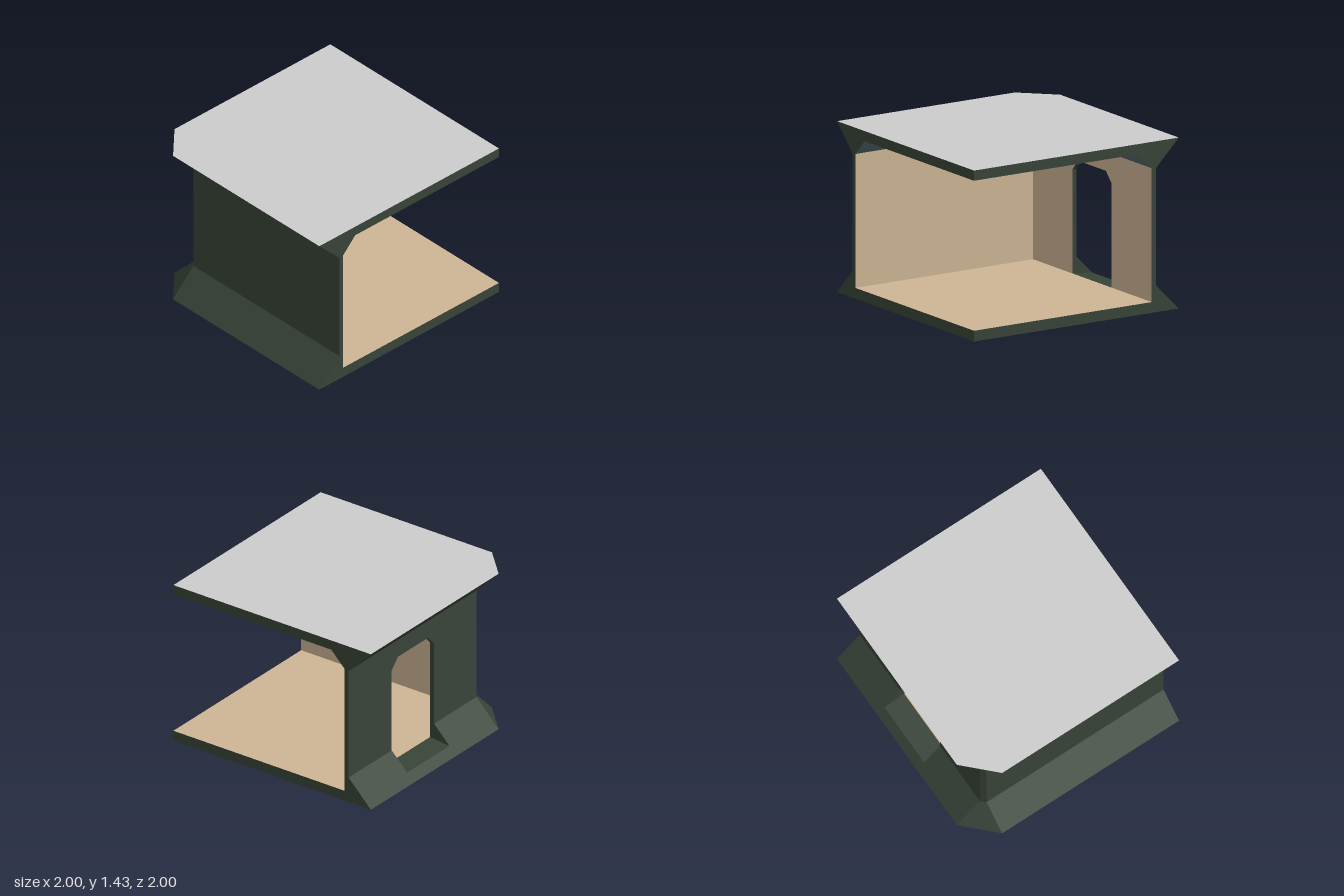
import * as THREE from 'three';

const mat = (name, color) => {
  const m = new THREE.MeshStandardMaterial({ color });
  m.name = name;
  return m;
};

// Flat polygons, each given as [outward direction, corner points]
function facesGeometry(faces) {
  const out = [];
  for (const [dir, corners] of faces) {
    const p = corners.map((c) => new THREE.Vector3(...c));
    const n = new THREE.Vector3();
    p.forEach((a, i) => n.add(a.clone().cross(p[(i + 1) % p.length])));
    n.normalize();
    if (n.dot(new THREE.Vector3(...dir)) < 0) n.negate();
    const u = p[1].clone().sub(p[0]).normalize();
    const v = n.clone().cross(u);
    const flat = p.map((q) => new THREE.Vector2(q.dot(u), q.dot(v)));
    for (const [i, j, k] of THREE.ShapeUtils.triangulateShape(flat, [])) {
      const ccw = flat[j].clone().sub(flat[i]).cross(flat[k].clone().sub(flat[i])) > 0;
      for (const t of ccw ? [i, j, k] : [i, k, j]) out.push(p[t].x, p[t].y, p[t].z);
    }
  }
  const g = new THREE.BufferGeometry();
  g.setAttribute('position', new THREE.Float32BufferAttribute(out, 3));
  g.computeVertexNormals();
  return g;
}

// Mirror across the diagonal: swaps the front wall with the door wall
const swap = ([x, y, z]) => [-z, y, -x];
const swapFace = ([dir, pts]) => [swap(dir), pts.map(swap)];
const withSwap = (face) => [face, swapFace(face)];

export function createModel() {
  const green = mat('dark green shell', 0x384438);
  const tan = mat('tan interior', 0xcdb594);
  const blue = mat('blue grey cove', 0x566b70);
  const grey = mat('light grey slab', 0xcccccc);

  const model = new THREE.Group();
  model.name = 'cornerRoom';
  const part = (name, material, faces) => {
    const mesh = new THREE.Mesh(facesGeometry(faces), material);
    mesh.name = name;
    model.add(mesh);
  };

  const H = 1.43, FLOOR = 0.09, CEIL = 1.345;   // heights
  const W = 0.775, I = 0.735, C = 0.6;          // outer wall, inner wall, cove edge
  const S0 = 0.225, S1 = H - S0, COVE = 1.21;   // flare and cove heights
  const Z0 = -0.415, Z1 = 0.16;                 // door sides
  const LIPX = -0.93, LIPY = 0.07;              // outer edge of the door sill
  const arch = [[Z1, 0.96], [Z1 - 0.085, 1.05], [Z0 + 0.085, 1.05], [Z0, 0.96]];

  // Roof top and underside of the base, with the clipped corner
  const slab = (y) => [[1, y, 1], [1, y, -1], [-1, y, -1], [-1, y, I], [-I, y, 1]];
  part('roofTop', grey, [[[0, 1, 0], slab(H)]]);
  part('baseUnderside', grey, [[[0, -1, 0], slab(0)]]);

  // Front wall, its flared strips and the chamfered corner
  const levels = [[0, 1], [S0, W], [S1, W], [H, 1]];
  const front = [], corner = [];
  for (let i = 0; i < 3; i++) {
    const [ya, a] = levels[i], [yb, b] = levels[i + 1];
    front.push([[0, 0, 1], [[1, ya, a], [1, yb, b], [-I, yb, b], [-I, ya, a]]]);
    corner.push([[-1, 0, 1], [[-I, ya, a], [-I, yb, b], [-b, yb, I], [-a, ya, I]]]);
  }
  part('frontWall', green, front);
  part('cornerChamfer', green, corner);

  // Door wall outside: flared base with a notch, wall with the doorway, flared eave
  const doorway = (x, y) => [[x, y, Z1], ...arch.map(([z, h]) => [x, h, z]), [x, y, Z0]];
  part('doorWall', green, [
    [[-1, 0, 0], [[-1, 0, I], [-1, 0, -1], [-W, S0, -1], [-W, S0, Z0],
      [LIPX, LIPY, Z0], [LIPX, LIPY, Z1], [-W, S0, Z1], [-W, S0, I]]],
    [[-1, 0, 0], [[-W, S0, I], ...doorway(-W, S0), [-W, S0, -1], [-W, S1, -1], [-W, S1, I]]],
    swapFace(front[2]),
  ]);

  // Door reveal: arch, lower cheeks and sill
  const outer = doorway(-W, S0), inner = doorway(-I, S0);
  const reveal = [];
  for (let i = 0; i < 5; i++) {
    const [, ya, za] = outer[i], [, yb, zb] = outer[i + 1];
    const dir = [0, 0.55 - (ya + yb) / 2, (Z0 + Z1) / 2 - (za + zb) / 2];
    reveal.push([dir, [outer[i], outer[i + 1], inner[i + 1], inner[i]]]);
  }
  for (const [z, s] of [[Z0, 1], [Z1, -1]]) {
    reveal.push([[0, 0, s], [[-I, FLOOR, z], [LIPX, LIPY, z], [-W, S0, z], [-I, S0, z]]]);
  }
  part('doorReveal', green, reveal);
  part('doorSill', green, [[[0, 1, 0],
    [[-I, FLOOR, Z0], [LIPX, LIPY, Z0], [LIPX, LIPY, Z1], [-I, FLOOR, Z1]]]]);

  // Cut ends of the shell on the two open sides
  const section = [[1, 0], [W, S0], [W, S1], [1, H], [-1, H], [-1, CEIL], [C, CEIL],
    [I, COVE], [I, FLOOR], [-1, FLOOR], [-1, 0]];
  part('openEdges', green, withSwap([[1, 0, 0], section.map(([z, y]) => [1, y, z])]));

  // Interior
  const square = (y, e) => [[1, y, e], [1, y, -1], [-e, y, -1], [-e, y, e]];
  part('floor', tan, [[[0, 1, 0], square(FLOOR, I)]]);
  part('ceiling', tan, [[[0, -1, 0], square(CEIL, C)]]);
  part('frontWallInside', tan, [[[0, 0, -1],
    [[1, FLOOR, I], [1, COVE, I], [-I, COVE, I], [-I, FLOOR, I]]]]);
  part('doorWallInside', tan, [[[1, 0, 0],
    [[-I, FLOOR, I], ...doorway(-I, FLOOR), [-I, FLOOR, -1], [-I, COVE, -1], [-I, COVE, I]]]]);
  part('ceilingCove', blue, withSwap([[0, -1, -1],
    [[1, COVE, I], [1, CEIL, C], [-C, CEIL, C], [-I, COVE, I]]]));

  return model;
}
